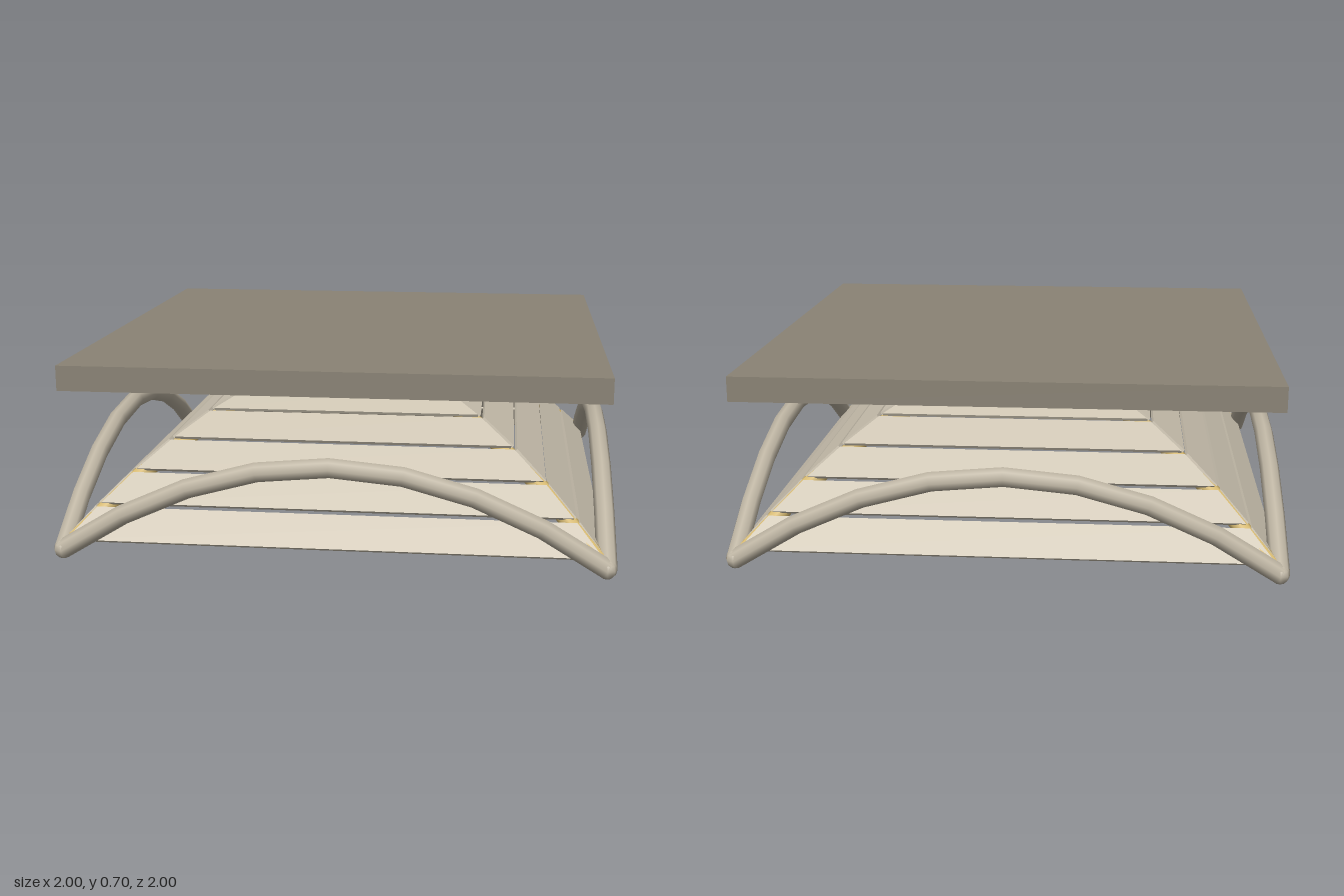
import * as THREE from 'three';

const mat = (name, color, extra = {}) => {
  const m = new THREE.MeshStandardMaterial({ color, ...extra });
  m.name = name;
  return m;
};

const HALF = 0.963;

// Shell height at distance d from the centre line
const shellY = (d) => 0.07 + 0.545 * (1 - (d / HALF) ** 2);

export function createModel() {
  const model = new THREE.Group();
  const slabMat = mat('slab grey', 0x8a8375);
  const archMat = mat('arch stone', 0xbfb6a4);
  const panelMat = mat('panel beige', 0xcbc2b0);
  const ribMat = mat('rib gold', 0xd6b970);
  const hubMat = mat('hub magenta', 0xb83a94);

  const add = (name, geo, material, parent = model) => {
    const mesh = new THREE.Mesh(geo, material);
    mesh.name = name;
    parent.add(mesh);
    return mesh;
  };

  // Parabolic tube from start to end, rising to the given height
  const archTube = (start, end, rise, radius) => {
    const pts = [];
    for (let i = 0; i <= 8; i++) {
      const t = i / 8;
      const p = start.clone().lerp(end, t);
      p.y += rise * (1 - (2 * t - 1) ** 2);
      pts.push(p);
    }
    const path = new THREE.CurvePath();
    for (let i = 0; i < 8; i++) path.add(new THREE.LineCurve3(pts[i], pts[i + 1]));
    const curve = new THREE.CatmullRomCurve3(pts);
    return new THREE.TubeGeometry(curve, 8, radius, 8, false);
  };

  // Sloped plank between two distances from the centre, facing +z
  const plank = (d0, d1) => {
    const y0 = shellY(d0), y1 = shellY(d1), t = 0.012;
    const len = Math.hypot(d0 - d1, y1 - y0);
    const nz = ((y1 - y0) / len) * t, ny = ((d0 - d1) / len) * t;
    const w0 = d0 - 0.01, w1 = d1 - 0.01;
    const loop = [[w0, y0, d0], [w1, y1, d1], [w1, y1 - ny, d1 - nz], [w0, y0 - ny, d0 - nz]];
    const L = loop.map(([w, y, z]) => [-w, y, z]);
    const R = loop.map(([w, y, z]) => [w, y, z]);
    const pos = [];
    const quad = (a, b, c, d) => pos.push(...a, ...b, ...c, ...a, ...c, ...d);
    for (let i = 0; i < 4; i++) {
      const j = (i + 1) % 4;
      quad(L[i], R[i], R[j], L[j]);
    }
    quad(R[0], R[3], R[2], R[1]);
    quad(L[0], L[1], L[2], L[3]);
    const geo = new THREE.BufferGeometry();
    geo.setAttribute('position', new THREE.Float32BufferAttribute(pos, 3));
    geo.computeVertexNormals();
    return geo;
  };

  // Top slab
  add('topSlab', new THREE.BoxGeometry(1.92, 0.09, 1.92), slabMat).position.y = 0.66;

  // Four sides: edge arch, corner foot and rows of planks
  const rows = [HALF, 0.86, 0.753, 0.637, 0.512, 0.38, 0.25, 0.1];
  for (let s = 0; s < 4; s++) {
    const side = new THREE.Group();
    side.name = 'side' + (s + 1);
    side.rotation.y = (s * Math.PI) / 2;
    model.add(side);
    add('edgeArch', archTube(new THREE.Vector3(-HALF, 0.036, HALF),
      new THREE.Vector3(HALF, 0.036, HALF), 0.33, 0.036), archMat, side);
    add('cornerFoot', new THREE.SphereGeometry(0.036, 8, 6), archMat, side)
      .position.set(HALF, 0.036, HALF);
    for (let i = 0; i < rows.length - 1; i++) {
      const gap = i < 4 ? 0.012 : 0;
      add('shellPlank', plank(rows[i], rows[i + 1] + gap), panelMat, side);
    }
  }
  add('shellCap', new THREE.BoxGeometry(0.2, 0.01, 0.2), panelMat).position.y = 0.609;

  // Crossing diagonal ribs
  for (const k of [-1, 1]) {
    add('diagonalRib', archTube(new THREE.Vector3(-HALF, 0.032, -HALF * k),
      new THREE.Vector3(HALF, 0.032, HALF * k), 0.535, 0.031), ribMat);
  }

  // Hub where the ribs cross
  const hub = add('ribHub', new THREE.SphereGeometry(0.115, 12, 8), hubMat);
  hub.scale.y = 0.55;
  hub.position.y = 0.54;

  return model;
}
